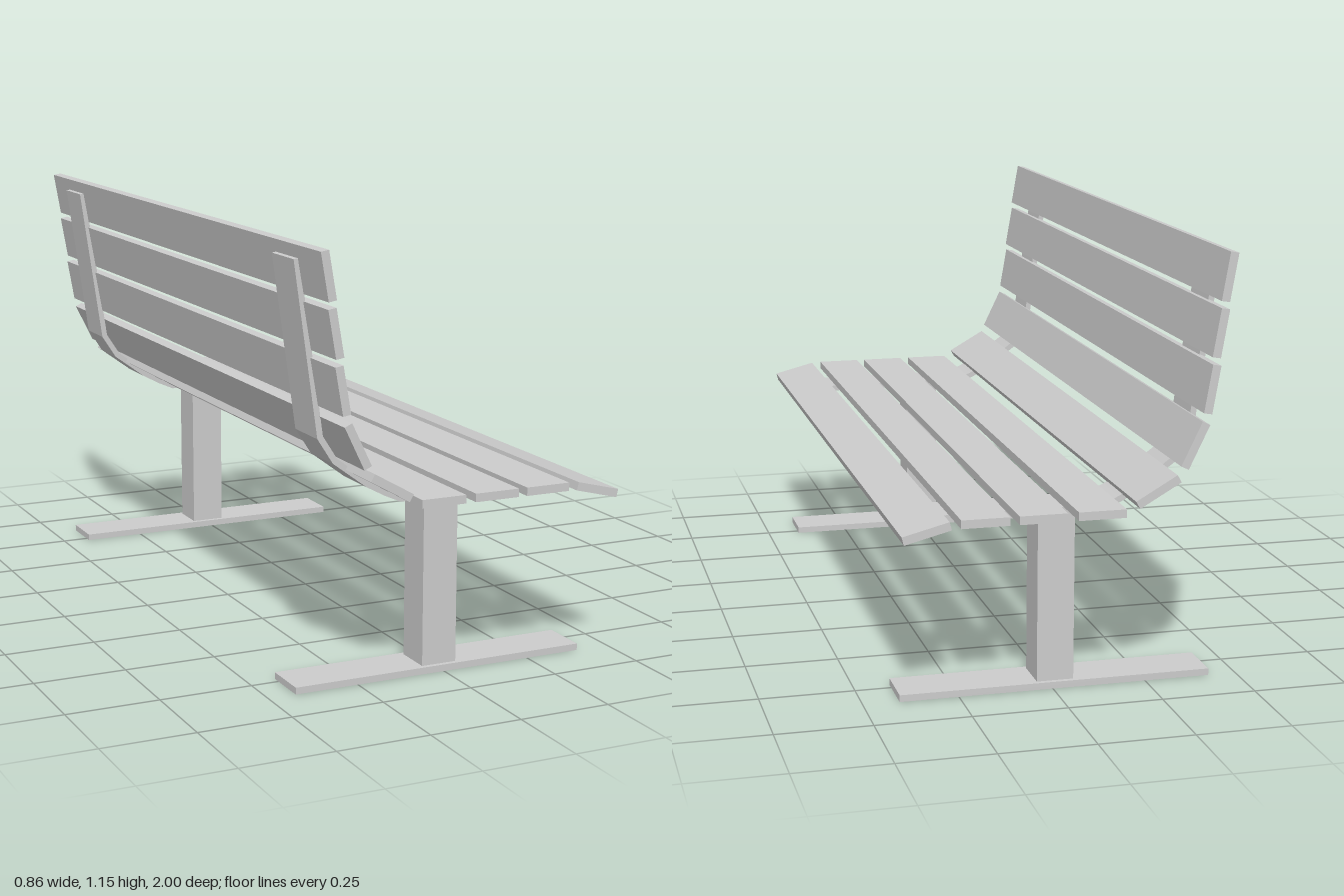
import * as THREE from 'three';

const material = new THREE.MeshStandardMaterial({ color: 0xcccccc, flatShading: true });

function box(name, w, h, d, x, y, z, tilt = 0) {
  const mesh = new THREE.Mesh(new THREE.BoxGeometry(w, h, d), material);
  mesh.name = name;
  mesh.position.set(x, y, z);
  mesh.rotation.z = tilt;
  return mesh;
}

// Bent flat bar: outer line up the back and under the seat, offset inward by its thickness
function strapGeometry(thickness, width) {
  const outer = [
    [-0.43, 1.107], [-0.366, 0.655], [-0.323, 0.588], [-0.229, 0.518],
    [-0.177, 0.49], [-0.132, 0.47], [0.308, 0.468], [0.393, 0.451],
  ].map(([x, y]) => new THREE.Vector2(x, y));
  const normal = (a, b) => {
    const d = b.clone().sub(a).normalize();
    return new THREE.Vector2(-d.y, d.x);
  };
  const inner = outer.map((p, i) => {
    const before = normal(outer[Math.max(i - 1, 0)], outer[Math.max(i, 1)]);
    const last = outer.length - 1;
    const after = normal(outer[Math.min(i, last - 1)], outer[Math.min(i + 1, last)]);
    const miter = before.clone().add(after).normalize();
    return p.clone().addScaledVector(miter, thickness / miter.dot(after));
  });
  const shape = new THREE.Shape([...outer, ...inner.reverse()]);
  return new THREE.ExtrudeGeometry(shape, { depth: width, bevelEnabled: false })
    .translate(0, 0, -width / 2);
}

export function createModel() {
  const bench = new THREE.Group();
  bench.name = 'bench';

  // Slats from the top of the back to the front of the seat: x, y, tilt
  const slats = [
    [-0.403, 1.083, -1.4], [-0.383, 0.943, -1.4], [-0.364, 0.802, -1.4],
    [-0.323, 0.661, -1.12], [-0.229, 0.548, -0.52],
    [-0.084, 0.498, 0], [0.068, 0.498, 0], [0.216, 0.498, 0],
    [0.364, 0.481, -0.25],
  ];
  slats.forEach(([x, y, tilt], i) => {
    bench.add(box(i < 5 ? 'backSlat' : 'seatSlat', 0.124, 0.022, 2, x, y, 0, tilt));
  });

  // Two identical supports
  const strap = strapGeometry(0.016, 0.13);
  for (const side of [-1, 1]) {
    const support = new THREE.Group();
    support.name = side > 0 ? 'frontSupport' : 'rearSupport';
    support.position.z = side * 0.793;
    const bar = new THREE.Mesh(strap, material);
    bar.name = 'strap';
    support.add(
      bar,
      box('post', 0.098, 0.454, 0.104, -0.009, 0.245, 0),
      box('foot', 0.83, 0.018, 0.13, -0.01, 0.009, 0),
    );
    bench.add(support);
  }
  return bench;
}
